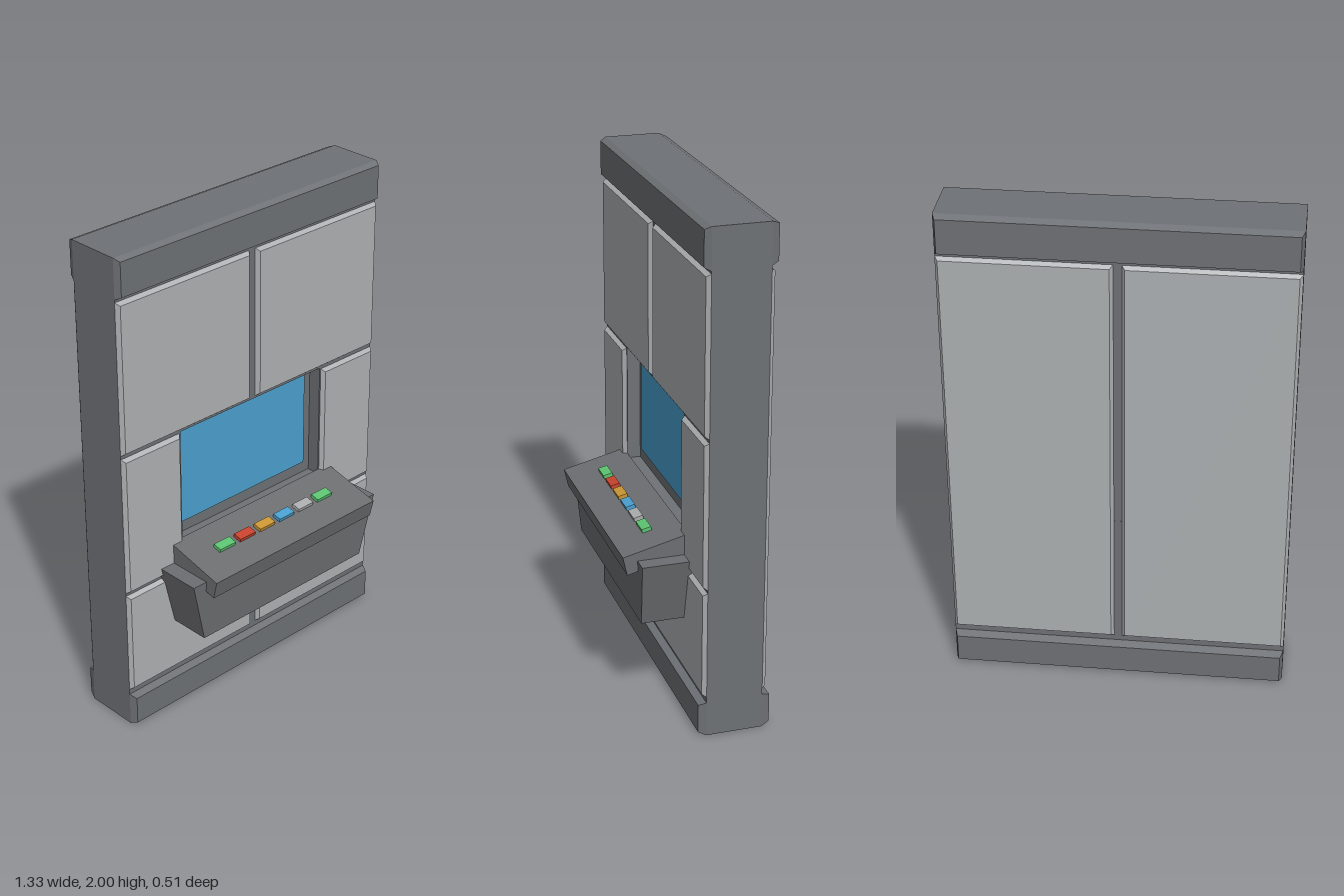
import * as THREE from 'three';

const mat = (name, color) => {
  const m = new THREE.MeshStandardMaterial({ color });
  m.name = name;
  return m;
};

export function createModel() {
  const group = new THREE.Group();
  const frameGrey = mat('frame grey', 0x6e7175);
  const panelGrey = mat('panel grey', 0xaeb1b3);
  const consoleGrey = mat('console grey', 0x6d6e71);
  const blue = mat('blue', 0x4aa0cf);
  const green = mat('green', 0x5cc471);
  const red = mat('red', 0xc8432f);
  const amber = mat('amber', 0xcb9634);
  const pale = mat('pale grey', 0xabacae);

  const add = (name, geometry, material) => {
    const mesh = new THREE.Mesh(geometry, material);
    mesh.name = name;
    group.add(mesh);
    return mesh;
  };

  const W = 0.665, BACK = -0.222;

  // bevelled plate on the front (dir 1) or back (dir -1) of the wall
  const plate = (name, material, x0, x1, y0, y1, depth, dir, inset = 0.012) => {
    const w = x1 - x0, h = y1 - y0;
    const g = new THREE.BoxGeometry(w, h, depth);
    const p = g.attributes.position;
    for (let i = 0; i < p.count; i++) {
      if (p.getZ(i) * dir > 0) {
        p.setX(i, p.getX(i) - Math.sign(p.getX(i)) * inset);
        p.setY(i, p.getY(i) - Math.sign(p.getY(i)) * inset);
      }
    }
    g.computeVertexNormals();
    const z = (dir > 0 ? 0 : BACK) + dir * depth / 2;
    add(name, g, material).position.set((x0 + x1) / 2, (y0 + y1) / 2, z);
  };

  const rect = (T, x0, x1, y0, y1) => {
    const s = new T();
    s.moveTo(x0, y0);
    s.lineTo(x1, y0);
    s.lineTo(x1, y1);
    s.lineTo(x0, y1);
    s.closePath();
    return s;
  };

  // wall core with a screen recess
  const wall = rect(THREE.Shape, -W, W, 0, 2);
  wall.holes.push(rect(THREE.Path, -0.372, 0.372, 0.72, 1.203));
  const core = new THREE.ExtrudeGeometry(wall, { depth: -BACK, bevelEnabled: false });
  core.translate(0, 0, BACK);
  add('wallCore', core, frameGrey);
  add('recessBack', new THREE.BoxGeometry(0.744, 0.483, 0.167), frameGrey)
    .position.set(0, 0.9615, BACK + 0.0845);
  add('screen', new THREE.BoxGeometry(0.67, 0.405, 0.006), blue)
    .position.set(0, 0.9725, -0.05);

  // bands and panels, front and back
  for (const dir of [1, -1]) {
    const side = dir > 0 ? 'front' : 'back';
    plate(side + 'TopBand', frameGrey, -W, W, 1.84, 2, dir > 0 ? 0.024 : 0.029, dir);
    plate(side + 'BottomBand', frameGrey, -W, W, 0, 0.14, dir > 0 ? 0.029 : 0.034, dir);
  }
  for (const s of [-1, 1]) {
    const side = s > 0 ? 'Left' : 'Right';
    const mirrored = (name, inner, y0, y1, dir) =>
      plate(name + side, panelGrey, Math.min(s * inner, s * W), Math.max(s * inner, s * W), y0, y1, 0.016, dir);
    mirrored('upperPanel', 0.016, 1.212, 1.83, 1);
    mirrored('middlePanel', 0.378, 0.612, 1.198, 1);
    mirrored('lowerPanel', 0.016, 0.163, 0.6, 1);
    mirrored('backPanel', 0.016, 0.163, 1.83, -1);
  }

  // console housing, narrowing downward
  const housing = new THREE.BoxGeometry(1, 0.265, 0.2);
  const hp = housing.attributes.position;
  for (let i = 0; i < hp.count; i++) {
    const top = hp.getY(i) > 0;
    hp.setX(i, Math.sign(hp.getX(i)) * (top ? 0.497 : 0.435));
    hp.setZ(i, hp.getZ(i) > 0 ? (top ? 0.2 : 0.186) : 0);
  }
  housing.computeVertexNormals();
  add('consoleHousing', housing, consoleGrey).position.y = 0.522;

  // sloping desk: side profile (z, y) swept across x
  const profile = new THREE.Shape(
    [[0, 0.739], [0, 0.66], [0.24, 0.6], [0.257, 0.675]].map(([z, y]) => new THREE.Vector2(-z, y)));
  const desk = new THREE.ExtrudeGeometry(profile, { depth: 0.866, bevelEnabled: false });
  desk.translate(0, 0, -0.433);
  desk.rotateY(Math.PI / 2);
  add('consoleDesk', desk, consoleGrey);

  // row of buttons
  [green, red, amber, blue, pale, green].forEach((material, i) => {
    const b = add('button' + (i + 1), new THREE.BoxGeometry(0.08, 0.02, 0.038), material);
    b.position.set(-0.267 + i * 0.1065, 0.713, 0.124);
    b.rotation.x = 0.244;
  });

  return group;
}
